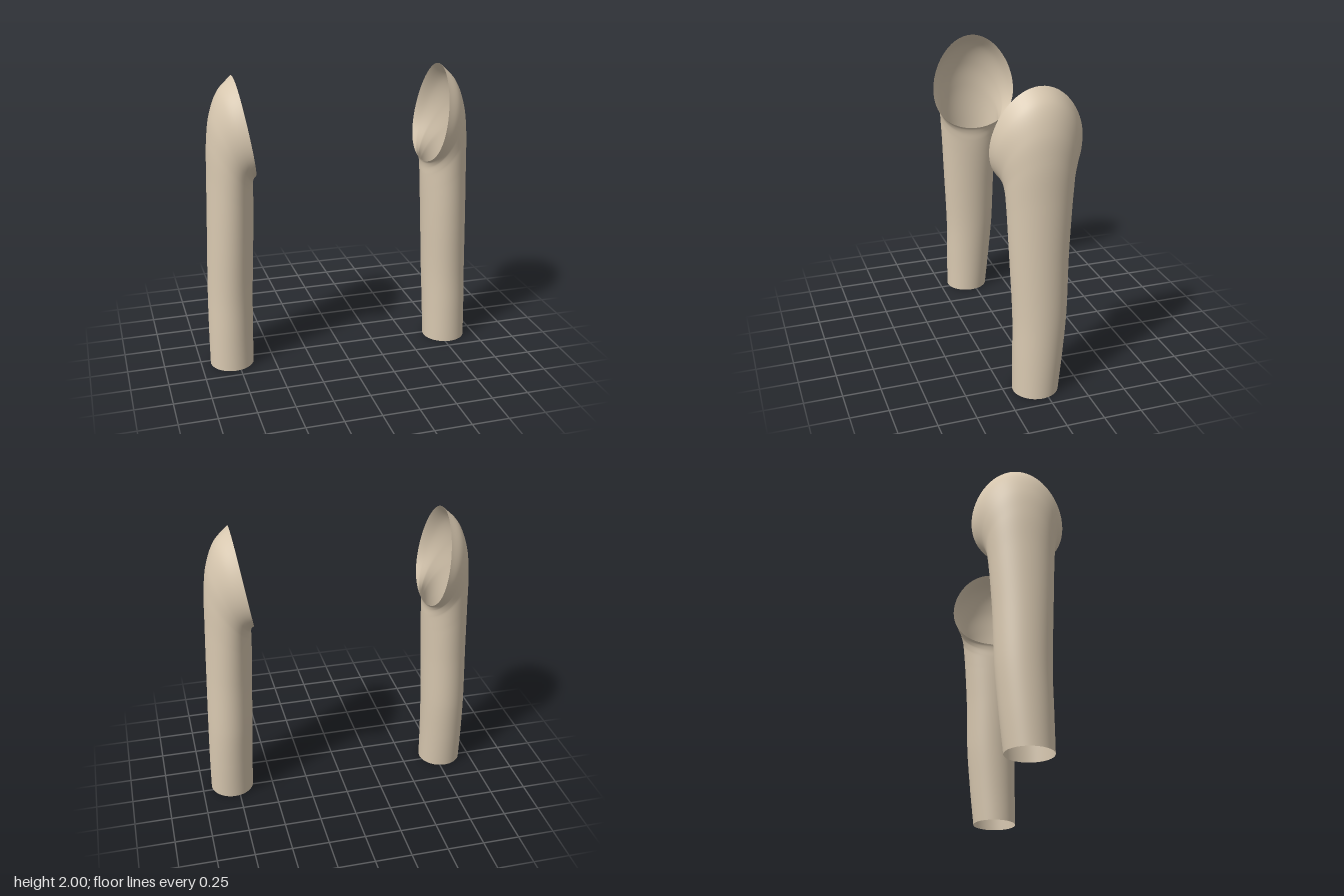
import * as THREE from 'three';

const AROUND = 64;
const ALONG = 72;

// Cross-sections from hem to rim:
// [outer x, outer y, inner x, inner y, front z, back z, side drop]
const SECTIONS = [
  [0.935, 0.00, 0.637, 0.00, 0.19, -0.11, 0],
  [0.933, 0.25, 0.632, 0.25, 0.188, -0.137, 0],
  [0.926, 0.55, 0.622, 0.55, 0.187, -0.163, 0],
  [0.912, 0.95, 0.608, 0.90, 0.203, -0.175, 0],
  [0.898, 1.32, 0.600, 1.14, 0.217, -0.195, 0],
  [0.886, 1.58, 0.599, 1.24, 0.228, -0.212, 0.01],
  [0.858, 1.76, 0.600, 1.295, 0.246, -0.238, 0.03],
  [0.798, 1.905, 0.596, 1.325, 0.275, -0.272, 0.045],
  [0.705, 2.00, 0.590, 1.34, 0.30, -0.30, 0.055],
];

// Smooth curve through three columns of the section table
function track(a, b, c) {
  return new THREE.CatmullRomCurve3(
    SECTIONS.map((s) => new THREE.Vector3(s[a], s[b], c === null ? 0 : s[c])));
}

// Open tube whose level rings tilt gradually into the slanted, flared opening
function sleeveGeometry(side) {
  const outer = track(0, 1, null);
  const inner = track(2, 3, null);
  const depth = track(4, 5, 6);
  const positions = [];
  const indices = [];

  for (let i = 0; i <= ALONG; i++) {
    const u = i / ALONG;
    const o = outer.getPoint(u);
    const n = inner.getPoint(u);
    const d = depth.getPoint(u);
    for (let j = 0; j < AROUND; j++) {
      const t = (j / AROUND) * Math.PI * 2;
      const k = (1 + Math.cos(t)) / 2;
      const s = Math.sin(t);
      positions.push(
        side * THREE.MathUtils.lerp(n.x, o.x, k),
        THREE.MathUtils.lerp(n.y, o.y, k) - d.z * s * s,
        (d.x + d.y) / 2 + ((d.x - d.y) / 2) * s);
    }
  }

  for (let i = 0; i < ALONG; i++) {
    for (let j = 0; j < AROUND; j++) {
      const a = i * AROUND + j;
      const b = i * AROUND + ((j + 1) % AROUND);
      const c = a + AROUND;
      const e = b + AROUND;
      if (side > 0) indices.push(a, c, b, b, c, e);
      else indices.push(a, b, c, b, e, c);
    }
  }

  const geometry = new THREE.BufferGeometry();
  geometry.setAttribute('position', new THREE.Float32BufferAttribute(positions, 3));
  geometry.setIndex(indices);
  geometry.computeVertexNormals();
  return geometry;
}

export function createModel() {
  const cloth = new THREE.MeshStandardMaterial({ color: 0xd8c8b0, side: THREE.DoubleSide });
  cloth.name = 'beige cloth';

  const group = new THREE.Group();
  group.name = 'sleeves';
  for (const [name, side] of [['leftSleeve', 1], ['rightSleeve', -1]]) {
    const sleeve = new THREE.Mesh(sleeveGeometry(side), cloth);
    sleeve.name = name;
    group.add(sleeve);
  }
  return group;
}
